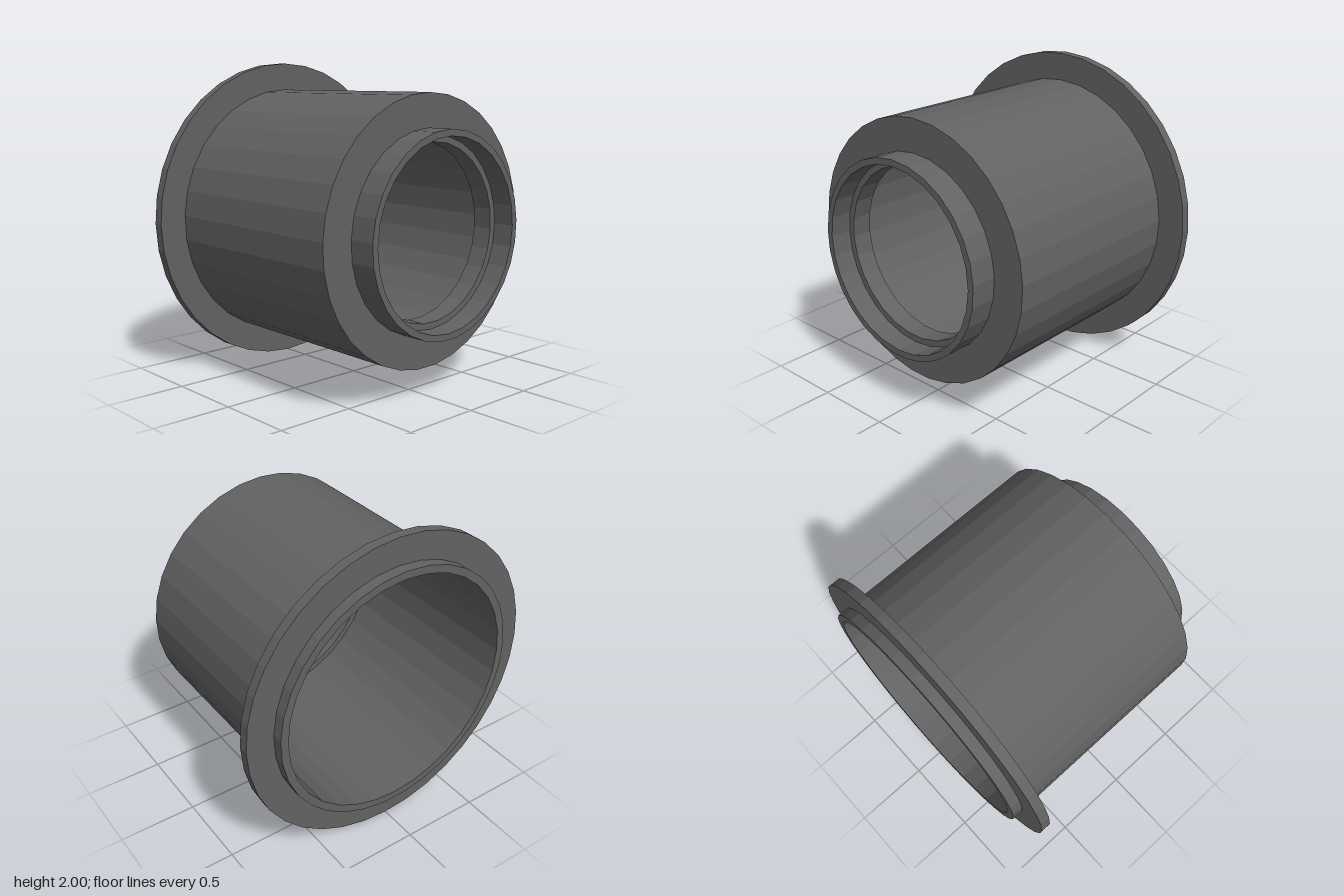
import * as THREE from 'three';

const darkGrey = new THREE.MeshStandardMaterial({ color: 0x626262 });
darkGrey.name = 'darkGrey';

// Number of sides grows with the square root of the radius
const sides = (r) => Math.ceil(36 * Math.sqrt(r) - 1e-6);

// Regular polygon with one corner at the top
function polygon(r) {
  const n = sides(r);
  return Array.from({ length: n }, (_, i) => {
    const a = Math.PI / 2 + (i / n) * Math.PI * 2;
    return new THREE.Vector2(r * Math.cos(a), r * Math.sin(a));
  });
}

// Faceted open wall along z, facing outward or into the bore
function wall(name, r, z0, z1, inward = false) {
  let geo = new THREE.CylinderGeometry(r, r, z1 - z0, sides(r), 1, true);
  geo.rotateX(-Math.PI / 2);
  geo.translate(0, 0, (z0 + z1) / 2);
  if (inward) geo.index.array.reverse();
  geo = geo.toNonIndexed();
  geo.computeVertexNormals();
  return named(name, geo);
}

// Flat ring at z, facing the front (dir = 1) or the back (dir = -1)
function ring(name, outer, inner, z, dir) {
  const shape = new THREE.Shape(polygon(outer));
  shape.holes.push(new THREE.Path(polygon(inner)));
  const geo = new THREE.ShapeGeometry(shape);
  if (dir < 0) geo.rotateY(Math.PI);
  geo.translate(0, 0, z);
  return named(name, geo);
}

function named(name, geo) {
  const mesh = new THREE.Mesh(geo, darkGrey);
  mesh.name = name;
  return mesh;
}

function part(name, ...meshes) {
  const group = new THREE.Group();
  group.name = name;
  group.add(...meshes);
  return group;
}

export function createModel() {
  const BODY = 0.825, BORE = 0.775, LEDGE = 0.735;
  const NECK = 0.62, SOCKET = 0.58, HOLE = 0.54;
  const BACK = -0.82, FRONT = 0.82, SHOULDER = 0.65;
  const FLANGE_BACK = -0.75, FLANGE_FRONT = -0.685;

  const model = part('flangedSleeve',
    // Main barrel and its rear rim
    part('body',
      wall('barrel', BODY, FLANGE_FRONT, SHOULDER),
      wall('rearRim', BODY, BACK, FLANGE_BACK),
      ring('rearRimFace', BODY, BORE, BACK, -1),
      ring('shoulder', BODY, NECK, SHOULDER, 1)),
    // Wide collar near the back
    part('flange',
      wall('flangeEdge', 1, FLANGE_BACK, FLANGE_FRONT),
      ring('flangeFrontFace', 1, BODY, FLANGE_FRONT, 1),
      ring('flangeBackFace', 1, BODY, FLANGE_BACK, -1)),
    // Short narrow neck with a stepped socket
    part('neck',
      wall('neckWall', NECK, SHOULDER, FRONT),
      ring('neckFace', NECK, SOCKET, FRONT, 1),
      wall('socketWall', SOCKET, 0.68, FRONT, true),
      ring('socketStep', SOCKET, HOLE, 0.68, 1),
      wall('throughHole', HOLE, 0.55, 0.68, true)),
    // Large bore open to the back, with a small ledge at its end
    part('bore',
      wall('boreWall', BORE, BACK, 0.48, true),
      ring('boreLedge', BORE, LEDGE, 0.48, -1),
      wall('ledgeWall', LEDGE, 0.48, 0.55, true),
      ring('boreEnd', LEDGE, HOLE, 0.55, -1)));

  model.position.y = 1;
  return part('model', model);
}
